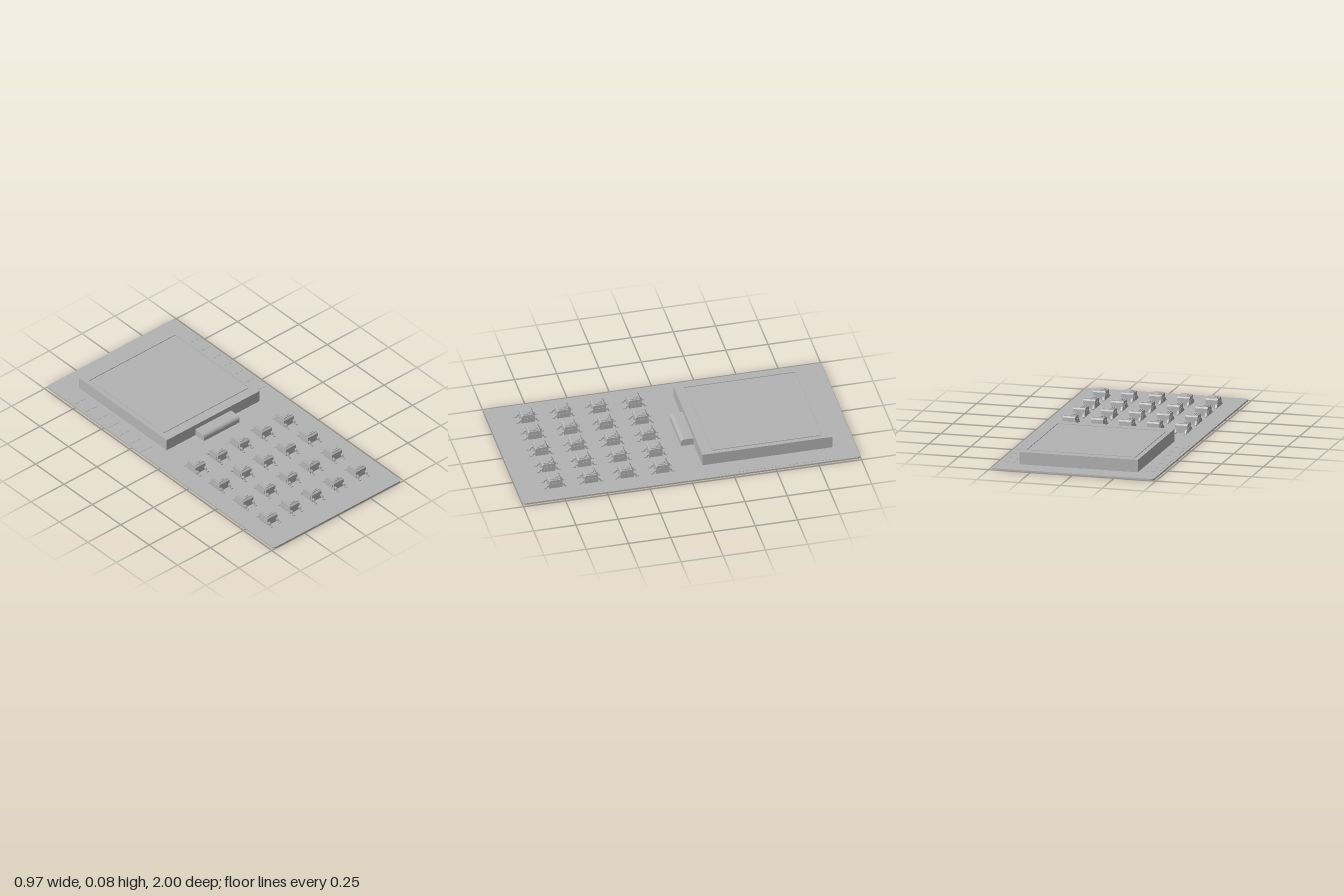
import * as THREE from 'three';

const grey = new THREE.MeshStandardMaterial({ color: 0xb3b3b3 });
grey.name = 'plain grey';

function add(parent, name, geometry, x = 0, y = 0, z = 0) {
  const mesh = new THREE.Mesh(geometry, grey);
  mesh.name = name;
  mesh.position.set(x, y, z);
  parent.add(mesh);
  return mesh;
}

// Box given by its size, standing on height y
function block(parent, name, w, h, d, x, y, z) {
  return add(parent, name, new THREE.BoxGeometry(w, h, d), x, y + h / 2, z);
}

// Rounded rectangle outline, centred
function roundedRect(w, d, r) {
  const s = new THREE.Shape();
  const a = w / 2 - r, b = d / 2 - r;
  s.absarc(a, b, r, 0, Math.PI / 2);
  s.absarc(-a, b, r, Math.PI / 2, Math.PI);
  s.absarc(-a, -b, r, Math.PI, Math.PI * 1.5);
  s.absarc(a, -b, r, Math.PI * 1.5, Math.PI * 2);
  s.closePath();
  return s;
}

// Flat plate lying on y = 0, extruded upward
function plate(shape, h) {
  const g = new THREE.ExtrudeGeometry(shape, { depth: h, bevelEnabled: false, curveSegments: 8 });
  return g.rotateX(-Math.PI / 2);
}

// Side profile of [z, y] points (anticlockwise), extruded across x
function sideProfile(points, w) {
  const shape = new THREE.Shape(points.map(([z, y]) => new THREE.Vector2(z, y)));
  const g = new THREE.ExtrudeGeometry(shape, { depth: w, bevelEnabled: false });
  return g.rotateY(-Math.PI / 2).translate(w / 2, 0, 0);
}

const T = 0.01; // board thickness

const bodyGeo = sideProfile([[-0.04, T], [0.04, T], [0.038, 0.054], [0.03, 0.062], [-0.03, 0.062], [-0.038, 0.054]], 0.074);
const coverGeo = new THREE.BoxGeometry(0.058, 0.005, 0.058);
const capGeo = new THREE.CylinderGeometry(0.022, 0.024, 0.006, 20);
const tabGeo = new THREE.BoxGeometry(0.01, 0.02, 0.05);
const legGeo = sideProfile([[0.036, 0.026], [0.046, 0.022], [0.054, T], [0.07, T], [0.07, 0.015], [0.058, 0.015], [0.05, 0.03], [0.036, 0.034]], 0.012);

function makeKey() {
  const key = new THREE.Group();
  key.name = 'keySwitch';
  add(key, 'switchBody', bodyGeo);
  add(key, 'switchCover', coverGeo, 0, 0.0635, 0);
  add(key, 'switchCap', capGeo, 0, 0.067, 0);
  for (const sx of [-1, 1]) {
    add(key, 'sideTab', tabGeo, sx * 0.034, 0.032, 0);
    for (const turn of [0, Math.PI]) {
      add(key, 'leg', legGeo, sx * 0.031).rotation.y = turn;
    }
  }
  return key;
}

export function createModel() {
  const model = new THREE.Group();
  model.name = 'keypadBoard';

  // Circuit board with two locating holes
  const outline = roundedRect(0.97, 2, 0.02);
  for (const [x, z] of [[0.19, -0.21], [-0.2, -0.19]]) {
    outline.holes.push(new THREE.Path().absarc(x, -z, 0.02, 0, Math.PI * 2, true));
  }
  add(model, 'board', plate(outline, T));

  // Display: body, bezel ring and panel with a fine groove between them
  const display = new THREE.Group();
  display.name = 'display';
  model.add(display);
  const screenZ = -0.48;
  block(display, 'displayBody', 0.706, 0.069, 0.77, 0, T, screenZ);
  const bezel = roundedRect(0.706, 0.77, 0.002);
  const opening = roundedRect(0.66, 0.66, 0.003);
  bezel.holes.push(new THREE.Path(opening.getPoints(4).reverse()));
  add(display, 'displayBezel', plate(bezel, 0.004), 0, 0.079, screenZ);
  block(display, 'displayPanel', 0.64, 0.004, 0.64, 0, 0.079, screenZ);

  // Ribbon connector with a rounded front edge
  const profile = [[-0.1, T], [-0.02, T]];
  for (let i = 0; i <= 6; i++) {
    const a = (i / 6) * Math.PI / 2;
    profile.push([-0.042 + 0.022 * Math.cos(a), 0.03 + 0.022 * Math.sin(a)]);
  }
  profile.push([-0.1, 0.052]);
  add(model, 'ribbonConnector', sideProfile(profile, 0.272));

  // Contact pads along both sides of the display
  for (const sx of [-1, 1]) {
    for (let i = 0; i < 7; i++) {
      block(model, 'contactPad', 0.075, 0.0015, 0.065, sx * 0.43, T, -0.21 - i * 0.098);
    }
  }

  // Keypad: four rows of five switches
  for (let row = 0; row < 4; row++) {
    for (let col = -2; col <= 2; col++) {
      const key = makeKey();
      key.position.set(col * 0.168, 0, 0.145 + row * 0.211);
      model.add(key);
    }
  }
  return model;
}
